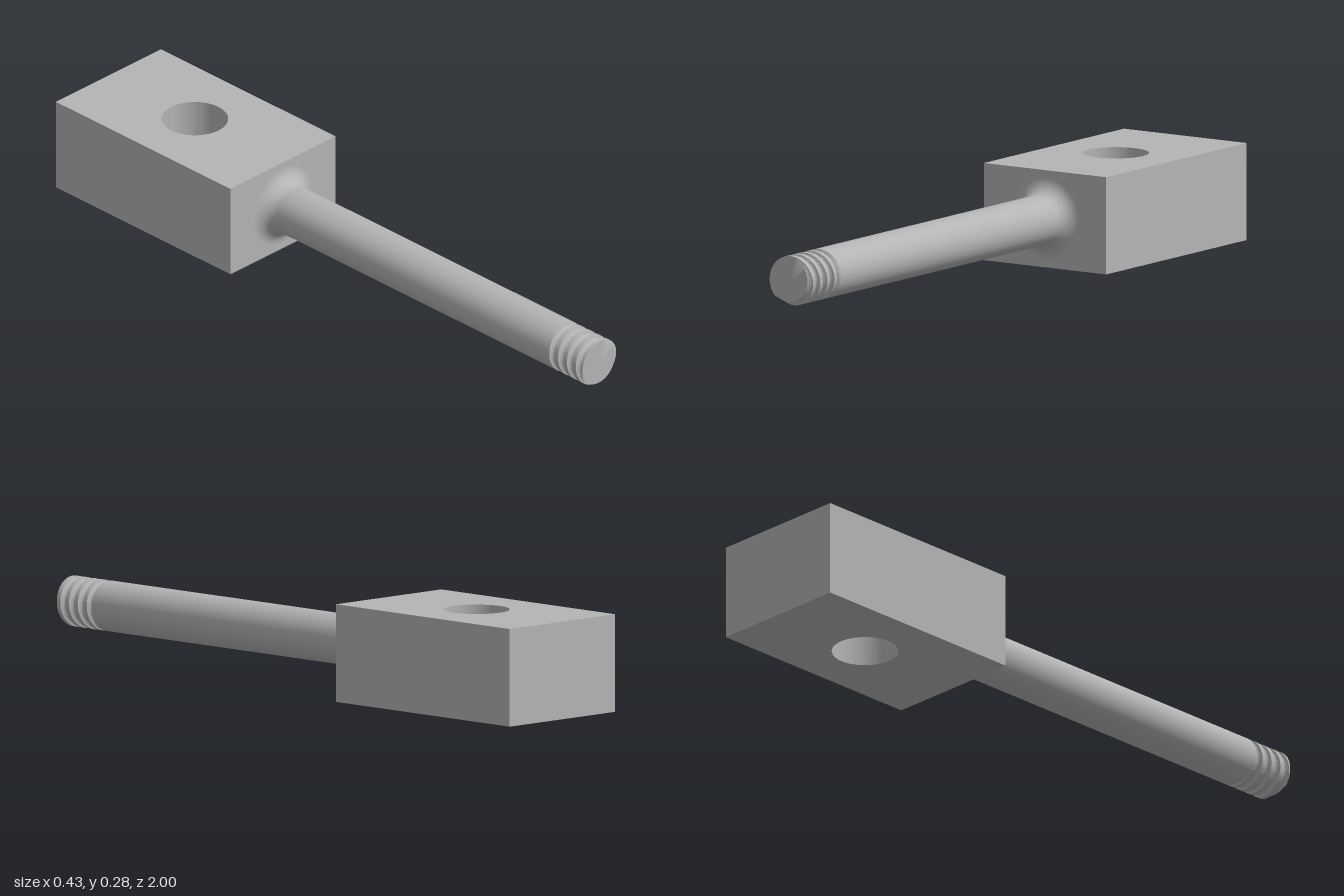
import * as THREE from 'three';
import { toCreasedNormals } from 'three/addons/utils/BufferGeometryUtils.js';

const AXIS_Y = 0.142;        // height of the rod axis
const R = 0.073;             // rod radius
const BLOCK_Z = -0.29;       // front face of the block
const THREAD_Z = 0.85;       // where the thread begins
const TIP_Z = 1;

// Rectangular block with a vertical through hole
function blockGeometry() {
  const shape = new THREE.Shape();
  shape.moveTo(-0.214, -BLOCK_Z);
  shape.lineTo(0.214, -BLOCK_Z);
  shape.lineTo(0.214, 1);
  shape.lineTo(-0.214, 1);
  shape.closePath();
  const hole = new THREE.Path();
  hole.absarc(0, 0.648, 0.096, 0, Math.PI * 2, true);
  shape.holes.push(hole);
  const g = new THREE.ExtrudeGeometry(shape, { depth: 0.284, bevelEnabled: false, curveSegments: 32 });
  g.rotateX(-Math.PI / 2);
  return toCreasedNormals(g, 0.5);
}

// Plain rod flaring into the block through a quarter-round fillet
function shaftGeometry() {
  const fillet = 0.048, steps = 10, points = [];
  for (let i = 0; i <= steps; i++) {
    const a = (i / steps) * Math.PI / 2;
    points.push(new THREE.Vector2(
      R + fillet * (1 - Math.sin(a)),
      BLOCK_Z + fillet * (1 - Math.cos(a))));
  }
  points.push(new THREE.Vector2(R, THREAD_Z));
  const g = new THREE.LatheGeometry(points, 64);
  g.rotateX(Math.PI / 2);
  g.translate(0, AXIS_Y, 0);
  return g;
}

// Threaded end: grid rows follow a helical groove, clipped at both ends and capped
function threadGeometry() {
  const pitch = 0.036, depth = 0.014, half = 0.3, segments = 64;
  const offsets = [-0.5, -0.3, -0.27, -0.2, -0.1, 0, 0.1, 0.2, 0.27, 0.3];
  const rows = [];
  for (let k = -6; k <= 1; k++) for (const f of offsets) rows.push(k + f);

  const radiusAt = (z, turn) => {
    let f = (z - TIP_Z) / pitch - turn;
    f -= Math.round(f);
    const groove = Math.sqrt(Math.max(0, 1 - (f / half) ** 2));
    return R - depth * groove * THREE.MathUtils.smoothstep(z, THREAD_Z, THREAD_Z + 0.012);
  };

  const positions = [], index = [], stride = rows.length + 1;
  for (let i = 0; i <= segments; i++) {
    const angle = (i / segments) * Math.PI * 2;
    const turn = (angle + 0.5) / (Math.PI * 2);
    for (const row of rows) {
      const z = THREE.MathUtils.clamp(TIP_Z + pitch * (row + turn), THREAD_Z, TIP_Z);
      const r = radiusAt(z, turn);
      positions.push(r * Math.cos(angle), AXIS_Y + r * Math.sin(angle), z);
    }
    positions.push(0, AXIS_Y, TIP_Z);
  }
  for (let i = 0; i < segments; i++) {
    for (let j = 0; j < stride - 1; j++) {
      const a = i * stride + j, b = a + stride;
      index.push(a, b, b + 1, a, b + 1, a + 1);
    }
  }
  const g = new THREE.BufferGeometry();
  g.setAttribute('position', new THREE.Float32BufferAttribute(positions, 3));
  g.setIndex(index);
  return toCreasedNormals(g, 0.7);
}

export function createModel() {
  const steel = new THREE.MeshStandardMaterial({ color: 0xb4b4b4 });
  steel.name = 'grey steel';
  const model = new THREE.Group();
  model.name = 'threadedRodEnd';
  const parts = { block: blockGeometry(), shaft: shaftGeometry(), thread: threadGeometry() };
  for (const [name, geometry] of Object.entries(parts)) {
    const mesh = new THREE.Mesh(geometry, steel);
    mesh.name = name;
    model.add(mesh);
  }
  return model;
}
